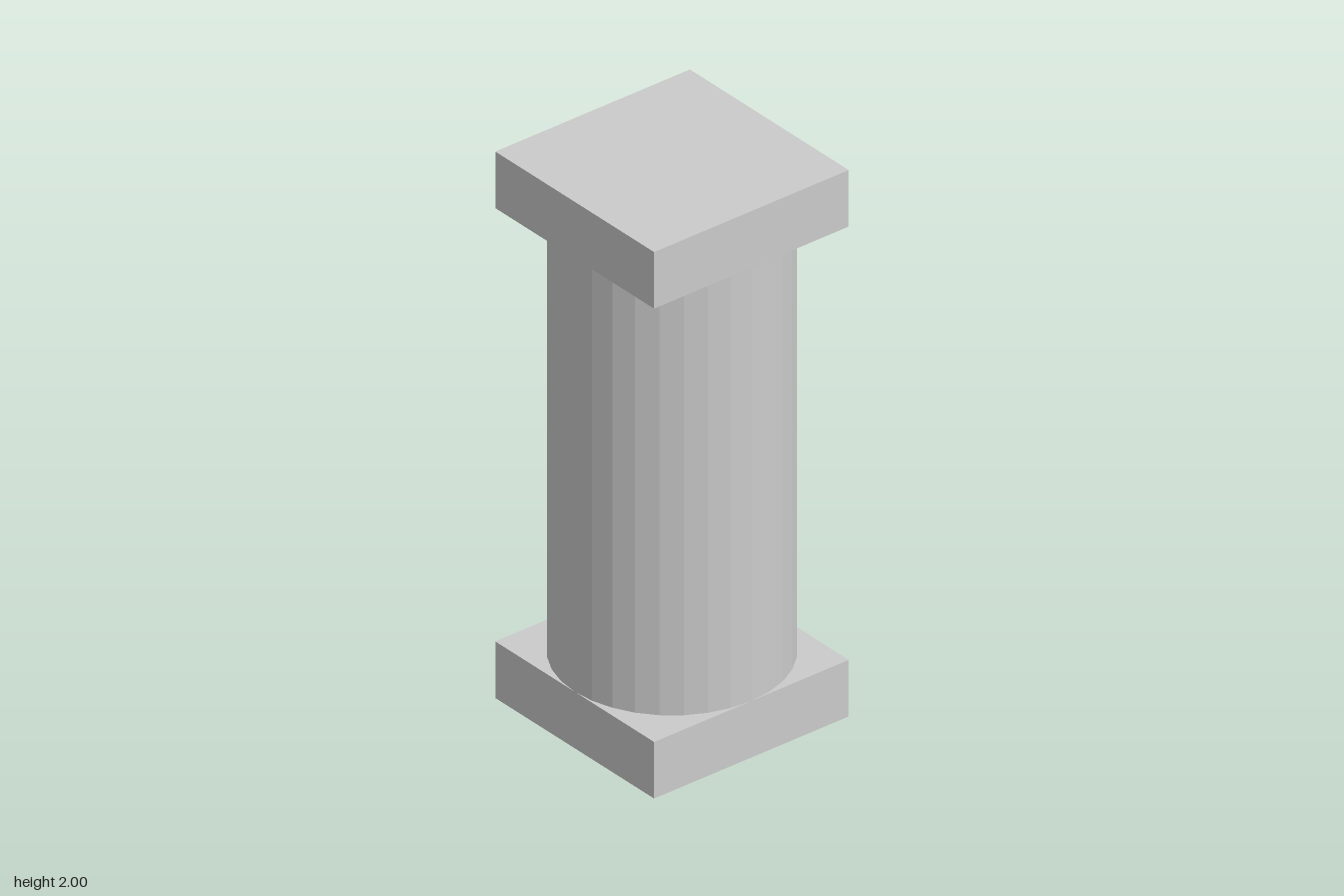
import * as THREE from 'three';

export function createModel() {
  const group = new THREE.Group();
  const material = new THREE.MeshStandardMaterial({ color: 0xcccccc, flatShading: true });
  const height = 2, width = 0.787, slab = 0.207;

  const add = (name, geometry, y) => {
    const mesh = new THREE.Mesh(geometry, material);
    mesh.name = name;
    mesh.position.y = y;
    group.add(mesh);
  };

  // Square slabs below and above the shaft
  add('base', new THREE.BoxGeometry(width, slab, width), slab / 2);
  add('capital', new THREE.BoxGeometry(width, slab, width), height - slab / 2);

  // Round faceted shaft, as wide as the slabs
  add('shaft', new THREE.CylinderGeometry(width / 2, width / 2, height - 2 * slab, 32, 1, true), height / 2);

  return group;
}
